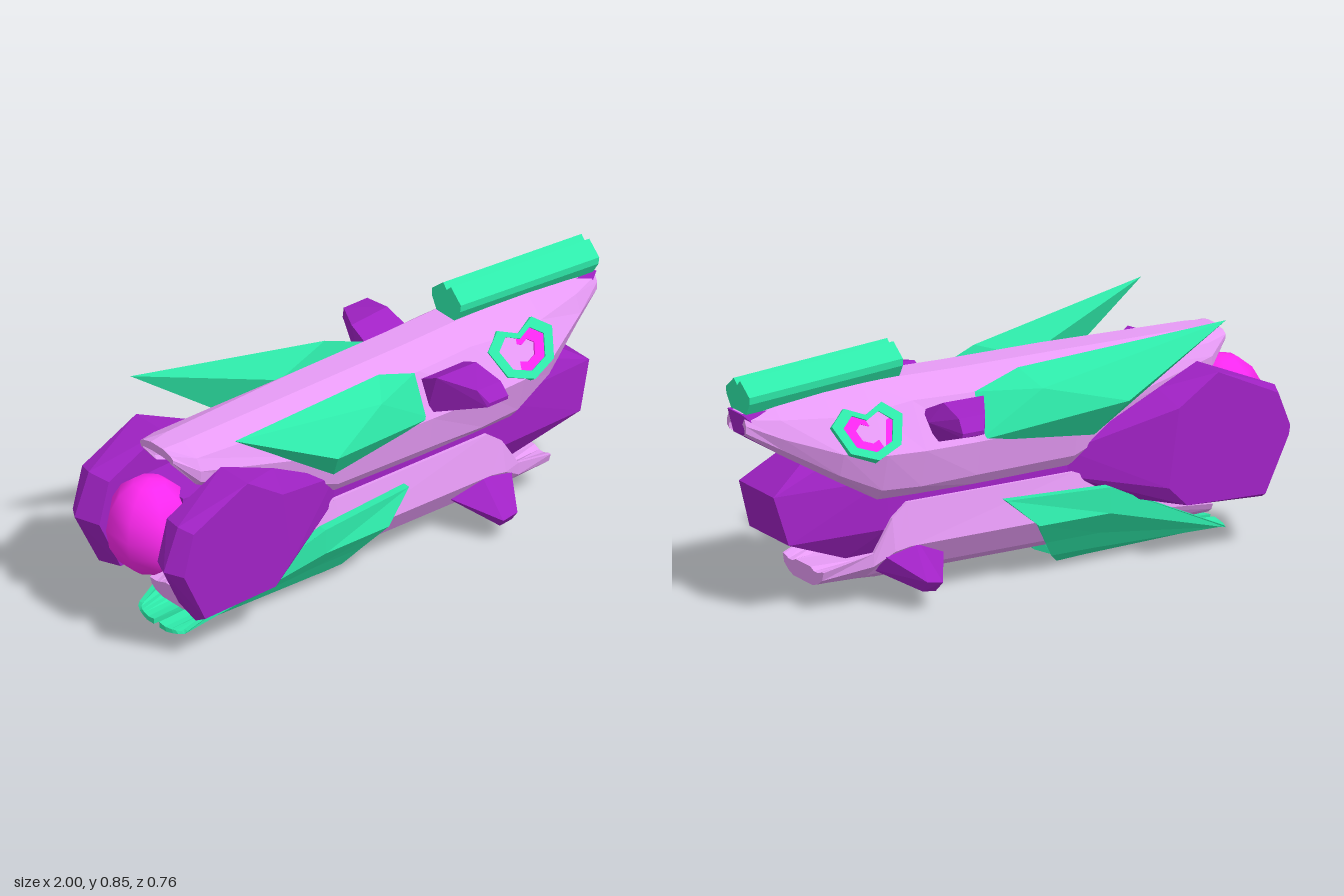
import * as THREE from 'three';
import { ConvexGeometry } from 'three/addons/geometries/ConvexGeometry.js';

const paint = (color, flat = true) =>
  new THREE.MeshStandardMaterial({ color, flatShading: flat, side: THREE.DoubleSide });
const lilac = paint(0xe69af5), purple = paint(0xa022c4), green = paint(0x2eeaaa);
const magenta = paint(0xff28f0), magentaSmooth = paint(0xff28f0, false);

function add(parent, name, geometry, material) {
  const mesh = new THREE.Mesh(geometry, material);
  mesh.name = name;
  parent.add(mesh);
  return mesh;
}

// Faceted solid around a few corner points
const hull = (pts, s = 1) => new ConvexGeometry(pts.map(([x, y, z]) => new THREE.Vector3(x, y, z * s)));

// Flat-faceted loft through closed loops of points, with plate-shaped end caps
function loft(loops) {
  const pos = [];
  const quad = (a, b, c, d) => pos.push(...a, ...b, ...c, ...a, ...c, ...d);
  const n = loops[0].length;
  for (let i = 0; i < loops.length - 1; i++)
    for (let j = 0; j < n; j++) {
      const k = (j + 1) % n;
      quad(loops[i][j], loops[i + 1][j], loops[i + 1][k], loops[i][k]);
    }
  const last = loops[loops.length - 1];
  for (let j = 0; j < n / 2 - 1; j++) {
    quad(loops[0][j], loops[0][j + 1], loops[0][n - 2 - j], loops[0][n - 1 - j]);
    quad(last[j], last[n - 1 - j], last[n - 2 - j], last[j + 1]);
  }
  const g = new THREE.BufferGeometry();
  g.setAttribute('position', new THREE.Float32BufferAttribute(pos, 3));
  g.computeVertexNormals();
  return g;
}

// Curved wall: half profiles [y, z] from the centre line to the rim, mirrored and thickened
function wall(stations, dy, body, rim) {
  return loft(stations.map(([x, ...half]) => {
    const end = half.length - 1;
    const inner = half.map(([y, z], i) => [y + dy * (1 - i / end), z * (i === end ? rim : body)]);
    const full = h => [...[...h].reverse().map(([y, z]) => [x, y, -z]), ...h.map(([y, z]) => [x, y, z])];
    return [...full(half), ...full(inner).reverse()];
  }));
}

// Notched, shield-like outlines, given as half outlines from the notch down
const eyeHalf = [[0, 0.065], [0.075, 0.1], [0.14, 0.045], [0.1, -0.06], [0, -0.1]];
const crestHalf = [[0, 0.035], [0.02, 0.055], [0.075, 0.01], [0.073, -0.015], [0.045, -0.06], [0, -0.065]];
const outline = (half, k) => [...half, ...half.slice(1, -1).reverse().map(([x, y]) => [-x, y])]
  .map(([x, y]) => new THREE.Vector2(x * k, y * k));
function shield(half, depth, outer = 1, inner = 0) {
  const shape = new THREE.Shape(outline(half, outer));
  if (inner) shape.holes.push(new THREE.Path(outline(half, inner)));
  return new THREE.ExtrudeGeometry(shape, { depth, bevelEnabled: false });
}

export function createModel() {
  const model = new THREE.Group();
  model.name = 'faceted craft';

  // Central body and rear engine ball
  const core = [[0.74, 0.55, 0.06], [0.92, 0.425, 0.11], [0.87, 0.255, 0.125], [0.62, 0.155, 0.07],
    [0.5, 0.58, 0.08], [0.5, 0.425, 0.135], [0.5, 0.255, 0.14], [-0.1, 0.17, 0.07], [0, 0.61, 0.07],
    [-0.8, 0.54, 0.1], [-0.8, 0.27, 0.1]];
  add(model, 'core body', hull([...core, ...core.map(([x, y, z]) => [x, y, -z])]), purple);
  const ball = add(model, 'engine ball', new THREE.SphereGeometry(1, 8, 8, Math.PI / 8), magentaSmooth);
  ball.scale.set(0.15, 0.175, 0.15);
  ball.position.set(-0.86, 0.42, 0);

  // Upper and lower shells
  add(model, 'upper shell', wall([
    [-0.83, [0.71, 0.03], [0.70, 0.07], [0.69, 0.085], [0.68, 0.085], [0.67, 0.08]],
    [-0.75, [0.715, 0.04], [0.68, 0.11], [0.64, 0.132], [0.60, 0.13], [0.58, 0.11]],
    [-0.2, [0.73, 0.05], [0.66, 0.13], [0.52, 0.19], [0.40, 0.17], [0.36, 0.14]],
    [0.18, [0.735, 0.05], [0.67, 0.13], [0.52, 0.20], [0.40, 0.18], [0.36, 0.15]],
    [0.4, [0.742, 0.05], [0.68, 0.13], [0.53, 0.22], [0.40, 0.19], [0.365, 0.155]],
    [0.55, [0.745, 0.05], [0.67, 0.14], [0.54, 0.225], [0.41, 0.19], [0.37, 0.155]],
    [0.7, [0.74, 0.05], [0.67, 0.13], [0.56, 0.195], [0.48, 0.17], [0.455, 0.14]],
    [0.88, [0.725, 0.04], [0.68, 0.09], [0.62, 0.115], [0.58, 0.10], [0.56, 0.08]],
    [0.995, [0.705, 0.03], [0.69, 0.05], [0.67, 0.06], [0.645, 0.06], [0.635, 0.045]],
  ], -0.03, 0.82, 0.88), lilac);
  add(model, 'lower shell', wall([
    [-0.76, [0.08, 0.05], [0.09, 0.09], [0.105, 0.11], [0.125, 0.12]],
    [-0.2, [0.07, 0.06], [0.11, 0.13], [0.20, 0.19], [0.34, 0.16]],
    [0.44, [0.07, 0.06], [0.11, 0.13], [0.20, 0.19], [0.345, 0.165]],
    [0.5, [0.07, 0.06], [0.11, 0.13], [0.19, 0.19], [0.30, 0.17]],
    [0.57, [0.075, 0.06], [0.10, 0.12], [0.145, 0.17], [0.19, 0.17]],
    [0.74, [0.08, 0.06], [0.09, 0.09], [0.11, 0.12], [0.14, 0.13]],
  ], 0.06, 0.77, 0.93), lilac);

  // Wedge-shaped nose under the crest
  add(model, 'nose', hull([1, -1].flatMap(s => [[1, 0.705, 0.05 * s], [1, 0.635, 0.012 * s],
    [0.96, 0.615, 0.03 * s], [0.94, 0.645, 0.075 * s], [0.88, 0.71, 0.05 * s], [0.88, 0.56, 0.03 * s]])), purple);

  // Long crest on the nose, sloping down to the front
  const crest = add(model, 'crest', shield(crestHalf, 0.59), green);
  crest.geometry.rotateY(Math.PI / 2).rotateZ(-0.065);
  crest.position.set(0.402, 0.8, 0);

  for (const s of [1, -1]) {
    const side = s > 0 ? 'left' : 'right';

    // Rear side pod
    const rim = [[-0.95, 0.38], [-0.91, 0.53], [-0.68, 0.64], [-0.53, 0.54], [-0.49, 0.27], [-0.56, 0.2], [-0.86, 0.19]];
    add(model, side + ' pod', hull([...rim.map(([x, y]) => [x, y, 0.288]), ...rim.map(([x, y]) => [x, y, 0.15]),
      [-0.99, 0.39, 0.23], [-0.93, 0.54, 0.23], [-0.87, 0.17, 0.25], [-0.5, 0.59, 0.2],
      [-0.19, 0.41, 0.14], [-0.19, 0.32, 0.14], [-0.36, 0.23, 0.16]], s), purple);

    // Swept upper wing
    add(model, side + ' upper wing', hull([[-0.72, 0.808, 0.27], [0, 0.73, 0.14], [0.16, 0.67, 0.13],
      [0.18, 0.52, 0.19], [-0.25, 0.475, 0.21], [-0.32, 0.61, 0.318], [-0.05, 0.67, 0.215], [-0.2, 0.66, 0.13]], s), green);

    // Curved lower fin with a slanted leading edge, thinning to the rear
    const fin = [
      [[-0.83, 0.02, 0.015], [-0.83, 0.02, 0.05], [-0.825, 0.025, 0.08], [-0.82, 0.03, 0.10], [-0.81, 0.035, 0.12], [-0.8, 0.045, 0.125]],
      [[-0.3, 0.006, 0.015], [-0.3, 0.015, 0.07], [-0.3, 0.05, 0.12], [-0.3, 0.115, 0.165], [-0.3, 0.2, 0.23], [-0.3, 0.29, 0.23]],
      [[-0.23, 0, 0.015], [-0.19, 0.01, 0.07], [-0.14, 0.05, 0.12], [-0.09, 0.115, 0.165], [-0.03, 0.2, 0.228], [0.08, 0.298, 0.2]],
    ];
    add(model, side + ' lower fin', loft(fin.map((row, r) => {
      const outer = row.map(([x, y, z]) => [x, y, z * s]);
      const lift = r ? 0.065 : 0.02;
      return [...outer, ...outer.map(([x, y, z], i) => [x, y + lift * (1 - i / 5), z * 0.86]).reverse()];
    })), green);

    // Upper and lower side lugs
    add(model, side + ' upper lug', hull([[0.18, 0.64, 0.13], [0.36, 0.64, 0.13], [0.18, 0.685, 0.22], [0.34, 0.69, 0.23],
      [0.38, 0.62, 0.2], [0.34, 0.54, 0.18], [0.18, 0.53, 0.17], [0.25, 0.667, 0.345], [0.35, 0.667, 0.345],
      [0.275, 0.625, 0.378], [0.355, 0.625, 0.378], [0.355, 0.61, 0.375], [0.27, 0.61, 0.375],
      [0.26, 0.60, 0.31], [0.35, 0.60, 0.31]], s), purple);
    add(model, side + ' lower lug', hull([[0.28, 0.155, 0.13], [0.41, 0.23, 0.15], [0.55, 0.19, 0.15], [0.55, 0.12, 0.12],
      [0.36, 0.115, 0.12], [0.4, 0.064, 0.28], [0.39, 0.1, 0.31], [0.45, 0.11, 0.31], [0.45, 0.07, 0.28]], s), purple);

    // Eye set into the shell: thin frame, bright ring and dark centre
    const mirror = new THREE.Group(), eye = new THREE.Group();
    mirror.name = side + ' eye';
    mirror.scale.z = s;
    eye.position.set(0.588, 0.604, 0.166);
    eye.rotation.x = -0.6;
    add(eye, 'eye frame', shield(eyeHalf, 0.04, 0.97, 0.68), green).position.z = -0.022;
    add(eye, 'eye ring', shield(eyeHalf, 0.035, 0.68, 0.36), magenta).position.z = -0.022;
    add(eye, 'eye centre', shield(eyeHalf, 0.025, 0.36), purple).position.z = -0.022;
    mirror.add(eye);
    model.add(mirror);
  }
  return model;
}
